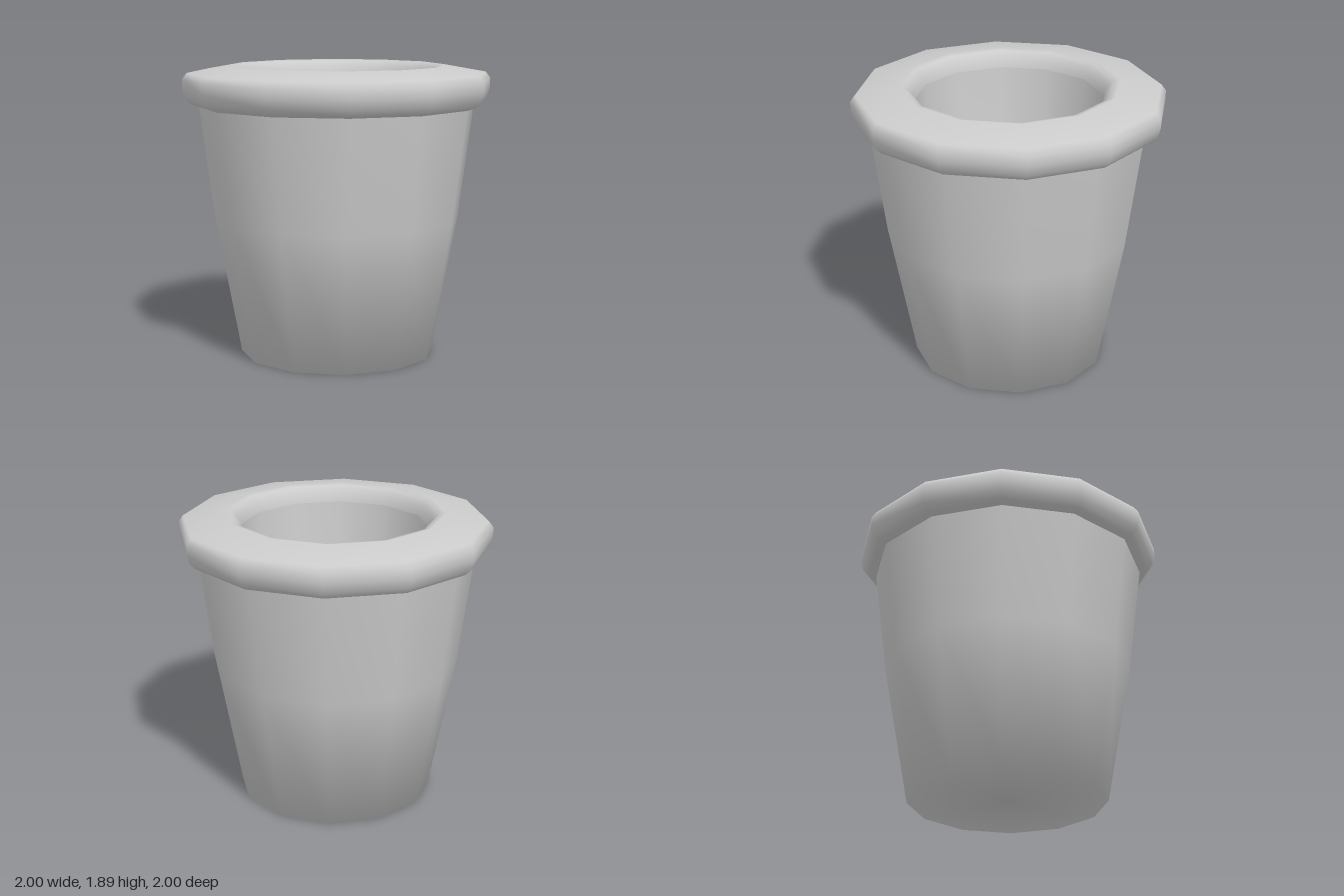
import * as THREE from 'three';

const SIDES = 12;
const material = new THREE.MeshStandardMaterial({ color: 0xcccccc });

// Twelve-sided turned part from [radius, height] pairs
function turned(name, profile) {
  const points = profile.map(([r, y]) => new THREE.Vector2(r, y));
  const mesh = new THREE.Mesh(new THREE.LatheGeometry(points, SIDES), material);
  mesh.name = name;
  return mesh;
}

export function createModel() {
  const group = new THREE.Group();
  group.name = 'pot';

  // Tapered outer wall with its closed base
  group.add(turned('outerWall', [[0, 0], [0.635, 0], [0.8, 0.9], [0.895, 1.63]]));

  // Thick rounded rim, sloping up towards the opening
  group.add(turned('rim', [
    [0.88, 1.62], [0.945, 1.64], [0.985, 1.68], [1, 1.74], [1, 1.8],
    [0.97, 1.84], [0.7, 1.888], [0.66, 1.88], [0.62, 1.84], [0.605, 1.78],
  ]));

  // Tapered cavity with a floor
  group.add(turned('innerWall', [[0.605, 1.78], [0.52, 0.9], [0.42, 0.28], [0, 0.25]]));

  return group;
}
